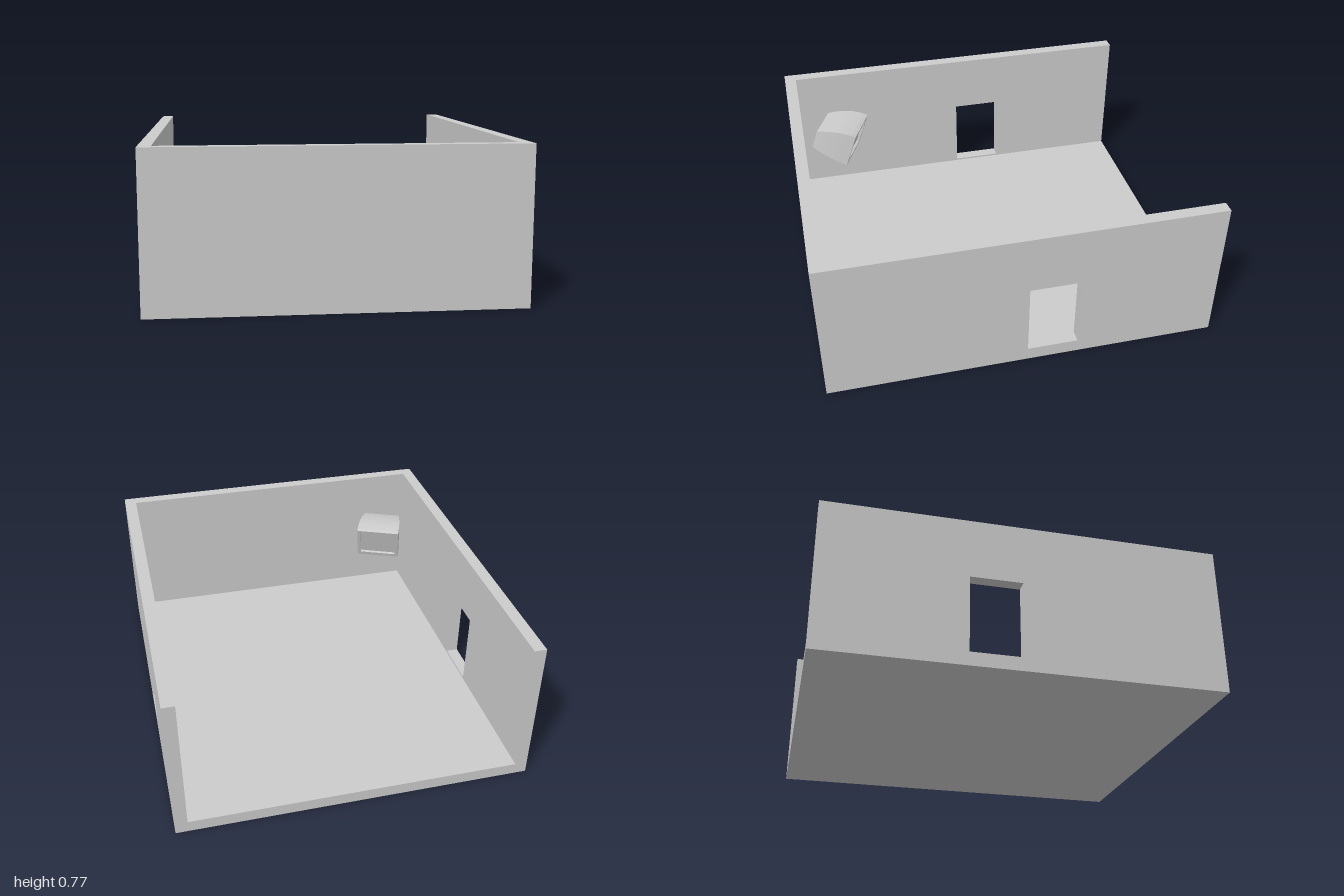
import * as THREE from 'three';

const material = new THREE.MeshStandardMaterial({ color: 0xcccccc });
const flatMaterial = new THREE.MeshStandardMaterial({ color: 0xcccccc, flatShading: true });

const W = 1.8, D = 2, H = 0.775, T = 0.0625, FLOOR = 0.06;

function addMesh(parent, name, geometry, x = 0, y = 0, z = 0, mat = material) {
  const mesh = new THREE.Mesh(geometry, mat);
  mesh.name = name;
  mesh.position.set(x, y, z);
  parent.add(mesh);
  return mesh;
}

function rectangle(x0, y0, x1, y1, Type = THREE.Shape) {
  return new Type([[x0, y0], [x1, y0], [x1, y1], [x0, y1]].map(p => new THREE.Vector2(...p)));
}

// Rectangular panel with a rectangular opening, extruded along z
function panelWithHole(outer, hole, depth) {
  const shape = rectangle(...outer);
  shape.holes.push(rectangle(...hole, THREE.Path));
  return new THREE.ExtrudeGeometry(shape, { depth, bevelEnabled: false });
}

// Wall-height television: front faces local +z, y = 0 at its lower front edge
function createTelevision() {
  const tv = new THREE.Group();
  tv.name = 'television';
  const bezel = 0.025, width = 0.25, height = 0.212;

  addMesh(tv, 'screenFrame', panelWithHole(
    [-width / 2, 0, width / 2, height], [-0.105, 0.022, 0.105, 0.19], bezel), 0, 0, -bezel);
  addMesh(tv, 'screen', new THREE.BoxGeometry(0.21, 0.168, 0.01), 0, 0.106, -0.02);

  // Housing: a box whose sections shrink towards the rear
  const depth = 0.2, steps = 6;
  const housing = new THREE.BoxGeometry(1, 1, depth, 1, 1, steps);
  const pos = housing.attributes.position;
  for (let i = 0; i < pos.count; i++) {
    const t = 0.5 - pos.getZ(i) / depth;
    const top = height - 0.02 * t - 0.059 * t * t;
    const bottom = 0.017 * t * t;
    const w = width - 0.04 * t * t;
    pos.setX(i, pos.getX(i) * w);
    pos.setY(i, pos.getY(i) > 0 ? top : bottom);
  }
  housing.computeVertexNormals();
  addMesh(tv, 'housing', housing, 0, 0, -bezel - depth / 2, flatMaterial);
  return tv;
}

export function createModel() {
  const model = new THREE.Group();
  model.name = 'room';

  // Floor and the closed front wall; the back stays open
  addMesh(model, 'floor', new THREE.BoxGeometry(W - 2 * T, FLOOR, D - T), 0, FLOOR / 2, -T / 2);
  addMesh(model, 'frontWall', new THREE.BoxGeometry(W - 2 * T, H, T), 0, H / 2, D / 2 - T / 2);

  // Side walls, each with a doorway; shape x runs along -z
  for (const side of [1, -1]) {
    const wall = addMesh(model, side > 0 ? 'leftWall' : 'rightWall',
      panelWithHole([-D / 2, 0, D / 2, H], [0.015, 0.07, 0.275, 0.463], T),
      side > 0 ? W / 2 - T : -W / 2);
    wall.rotation.y = Math.PI / 2;
  }

  // Television turned into the room from the corner and tilted down
  const tv = createTelevision();
  tv.position.set(-0.603, 0.37, 0.664);
  tv.rotation.set(0.337, Math.PI - 0.41, 0, 'YXZ');
  model.add(tv);

  return model;
}
